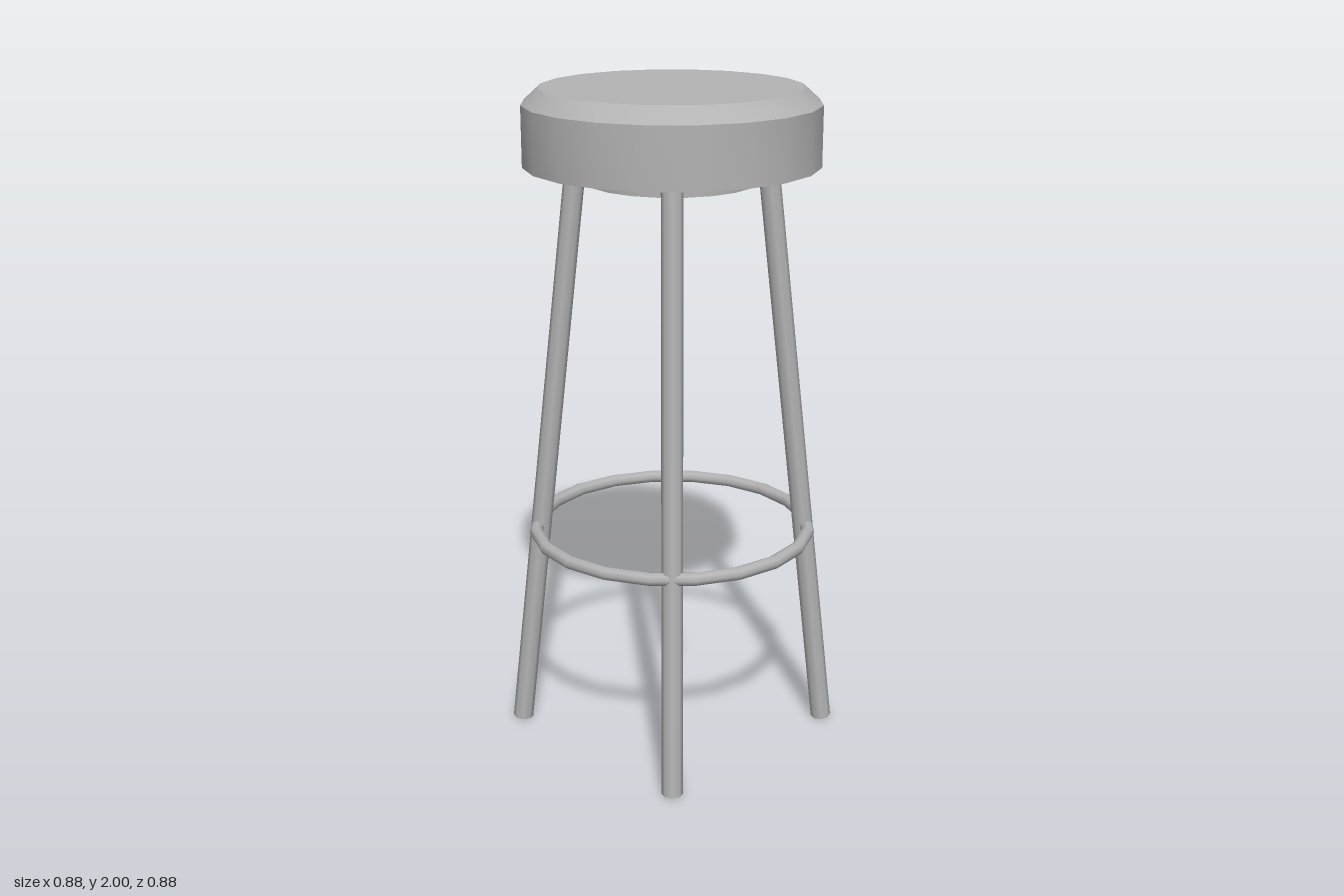
import * as THREE from 'three';
import { toCreasedNormals } from 'three/addons/utils/BufferGeometryUtils.js';

export function createModel() {
  const stool = new THREE.Group();
  stool.name = 'barStool';
  const grey = new THREE.MeshStandardMaterial({ color: 0xb3b3b3 });
  grey.name = 'grey';

  const add = (name, geometry, y = 0) => {
    const mesh = new THREE.Mesh(geometry, grey);
    mesh.name = name;
    mesh.position.y = y;
    stool.add(mesh);
    return mesh;
  };

  // Round seat with a bevelled top edge
  const profile = [[0, 1.78], [0.43, 1.78], [0.43, 1.955], [0.38, 2], [0, 2]]
    .map(([r, y]) => new THREE.Vector2(r, y));
  add('seat', toCreasedNormals(new THREE.LatheGeometry(profile, 20), 0.5));

  // Mounting disc under the seat
  add('mountingDisc', new THREE.CylinderGeometry(0.25, 0.25, 0.06, 20), 1.76);

  // Four splayed legs
  const up = new THREE.Vector3(0, 1, 0);
  for (const [side, sx] of [['Left', 1], ['Right', -1]]) {
    for (const [end, sz] of [['front', 1], ['back', -1]]) {
      const foot = new THREE.Vector3(0.337 * sx, 0.004, 0.337 * sz);
      const top = new THREE.Vector3(0.195 * sx, 1.79, 0.195 * sz);
      const axis = top.clone().sub(foot);
      const leg = add(`${end}${side}Leg`, new THREE.CylinderGeometry(0.031, 0.031, axis.length(), 8));
      leg.position.copy(foot).add(top).multiplyScalar(0.5);
      leg.quaternion.setFromUnitVectors(up, axis.normalize());
    }
  }

  // Foot ring around the legs
  const ring = new THREE.TorusGeometry(0.418, 0.02, 8, 20);
  ring.rotateX(Math.PI / 2);
  add('footRing', ring, 0.665);

  return stool;
}
